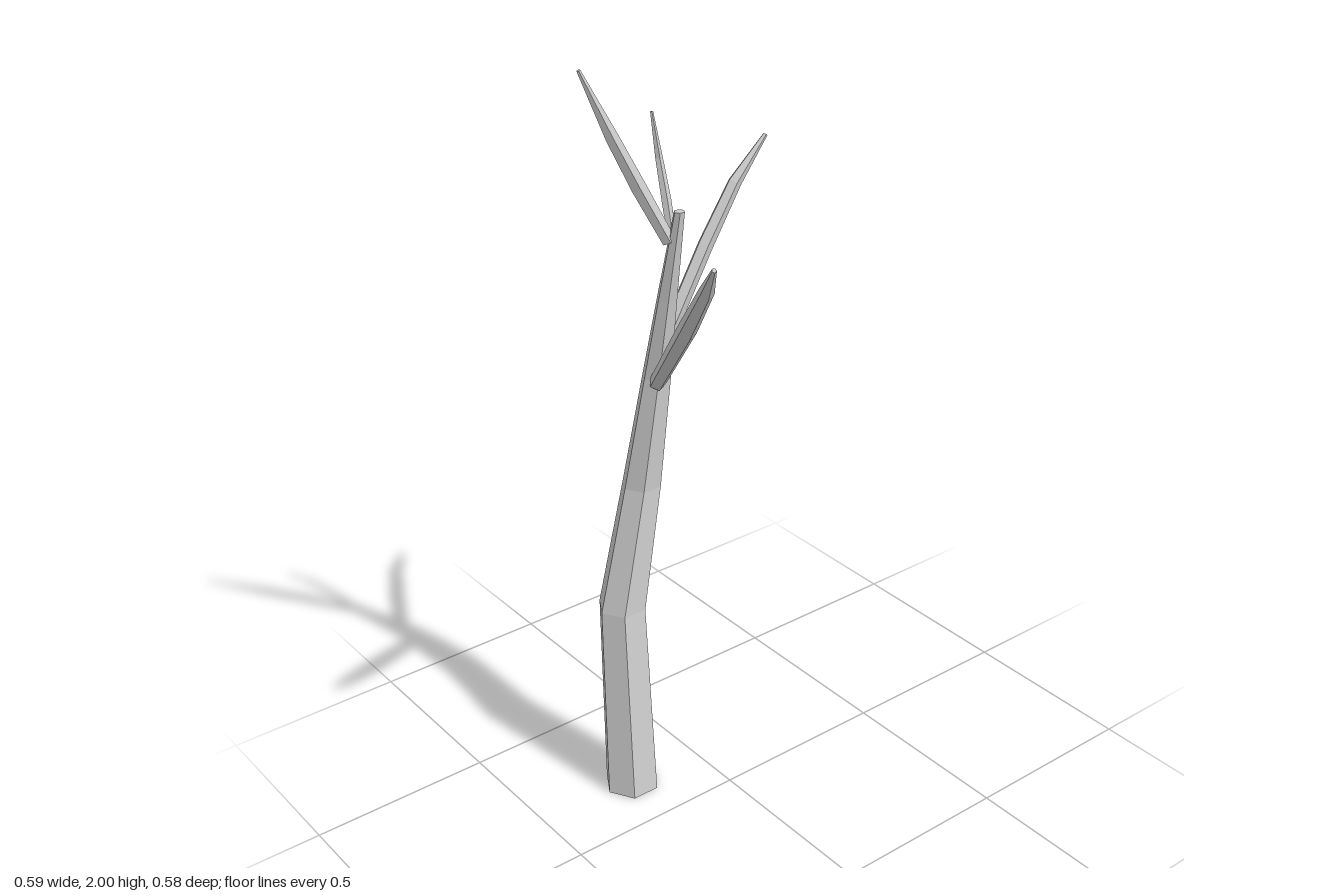
import * as THREE from 'three';

const material = new THREE.MeshStandardMaterial({ color: 0xcccccc, flatShading: true });
const UP = new THREE.Vector3(0, 1, 0);

// A faceted limb through rings [x, y, z, radius], each ring square to the given axis
function limb(name, sides, rings, axis) {
  const last = rings.length - 1;
  const turn = new THREE.Quaternion().setFromUnitVectors(UP, axis);
  const indexed = new THREE.CylinderGeometry(1, 1, 1, sides, last);
  const pos = indexed.attributes.position;
  const v = new THREE.Vector3();
  for (let i = 0; i < pos.count; i++) {
    v.fromBufferAttribute(pos, i);
    const [x, y, z, r] = rings[Math.round((0.5 - v.y) * -last + last)];
    v.set(v.x * r, 0, v.z * r).applyQuaternion(turn);
    pos.setXYZ(i, v.x + x, v.y + y, v.z + z);
  }
  const geometry = indexed.toNonIndexed();
  geometry.computeVertexNormals();
  const mesh = new THREE.Mesh(geometry, material);
  mesh.name = name;
  return mesh;
}

// A branch keeps its rings square to the line from root to tip
function branch(name, rings) {
  const root = new THREE.Vector3(...rings[0].slice(0, 3));
  const tip = new THREE.Vector3(...rings[rings.length - 1].slice(0, 3));
  return limb(name, 5, rings, tip.sub(root).normalize());
}

export function createModel() {
  const tree = new THREE.Group();
  tree.name = 'bareTree';

  // Bent, tapering six-sided trunk
  tree.add(limb('trunk', 6, [
    [-0.165, 0, 0.215, 0.076],
    [-0.237, 0.53, 0.178, 0.067],
    [-0.247, 0.87, 0.097, 0.054],
    [-0.224, 1.18, 0.058, 0.039],
    [-0.188, 1.4, 0.048, 0.027],
    [-0.143, 1.64, 0.04, 0.014],
  ], UP));

  // Bare branches
  tree.add(
    branch('leftBranch', [
      [-0.195, 1.175, 0.078, 0.022],
      [0.05, 1.43, 0.17, 0.025],
      [0.21, 1.6, 0.235, 0.019],
      [0.29, 1.69, 0.275, 0.006],
    ]),
    branch('backBranch', [
      [-0.205, 1.305, 0.03, 0.021],
      [-0.216, 1.5, -0.095, 0.021],
      [-0.219, 1.64, -0.19, 0.018],
      [-0.215, 1.745, -0.285, 0.006],
    ]),
    branch('frontBranch', [
      [-0.168, 1.56, 0.055, 0.018],
      [-0.205, 1.7, 0.115, 0.02],
      [-0.228, 1.83, 0.172, 0.017],
      [-0.25, 1.997, 0.243, 0.005],
    ]),
    branch('smallTwig', [
      [-0.168, 1.54, 0.042, 0.012],
      [-0.2, 1.65, 0.037, 0.013],
      [-0.228, 1.75, 0.036, 0.01],
      [-0.237, 1.865, 0.048, 0.004],
    ]),
  );
  return tree;
}
